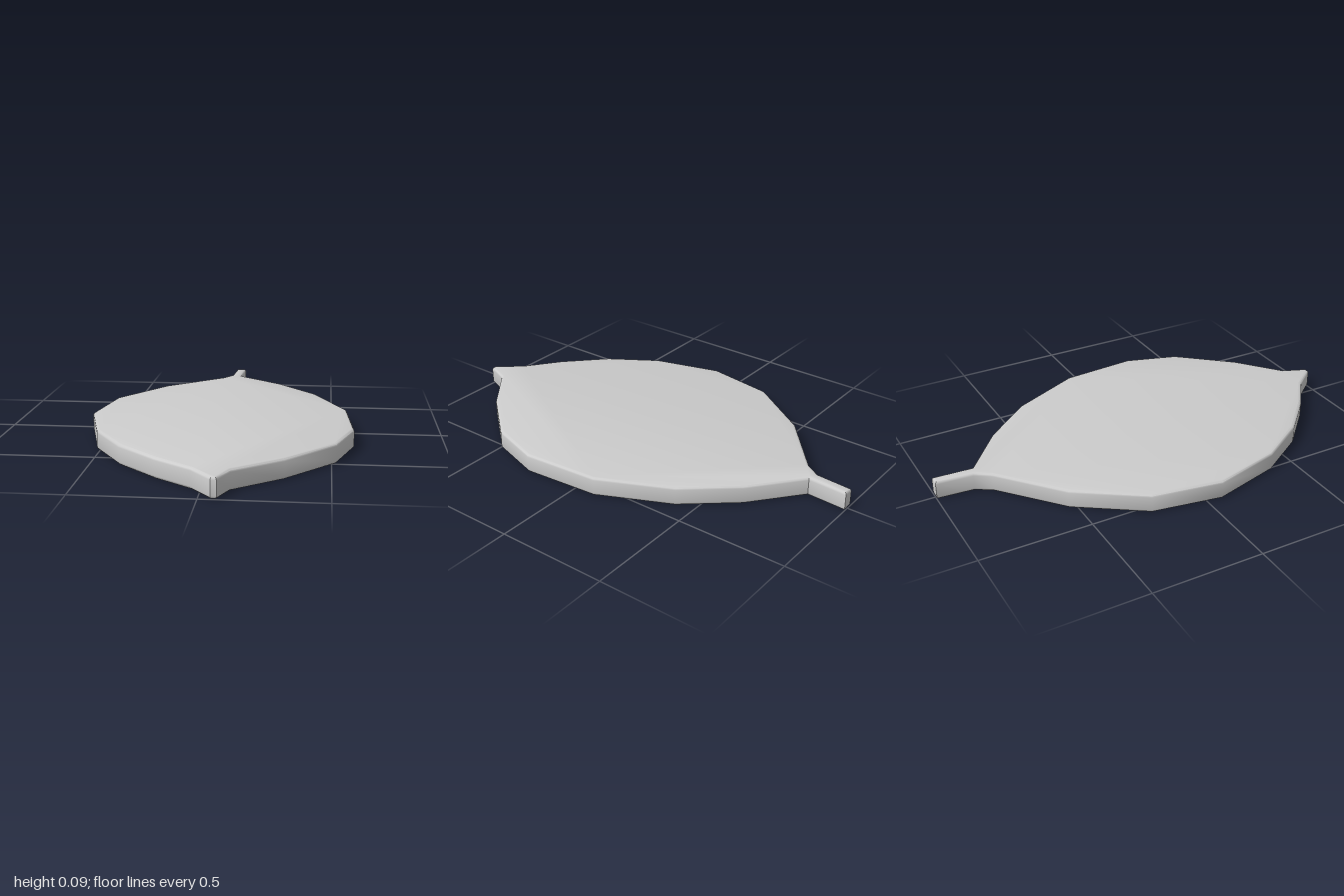
import * as THREE from 'three';
import { toCreasedNormals } from 'three/addons/utils/BufferGeometryUtils.js';

export function createModel() {
  const group = new THREE.Group();
  group.name = 'leaf';

  // Leaf outline as (x, z), from the stem end around the left side to the tip and back
  const outline = [
    [-0.022, -1], [0.025, -1], [0.015, -0.82], [0.235, -0.64], [0.42, -0.42],
    [0.57, -0.1], [0.598, 0.25], [0.522, 0.49], [0.315, 0.73], [0.117, 0.89],
    [0.073, 1], [0.049, 1], [-0.04, 0.89], [-0.2, 0.77], [-0.375, 0.6],
    [-0.515, 0.38], [-0.6, 0.07], [-0.548, -0.245], [-0.35, -0.535],
    [-0.08, -0.765], [-0.035, -0.835],
  ];
  const shape = new THREE.Shape(outline.map(([x, z]) => new THREE.Vector2(x, -z)));

  // Flat slab with softly rounded rims; the outline is its widest section
  const height = 0.088, bevel = 0.013;
  const slab = new THREE.ExtrudeGeometry(shape, {
    depth: height - 2 * bevel,
    bevelEnabled: true,
    bevelThickness: bevel,
    bevelSize: bevel,
    bevelOffset: -bevel,
    bevelSegments: 3,
  });
  slab.rotateX(-Math.PI / 2);
  slab.translate(0, bevel, 0);

  const blade = new THREE.Mesh(
    toCreasedNormals(slab, THREE.MathUtils.degToRad(35)),
    new THREE.MeshStandardMaterial({ color: 0xcccccc }),
  );
  blade.name = 'leafBladeWithStem';
  group.add(blade);
  return group;
}
